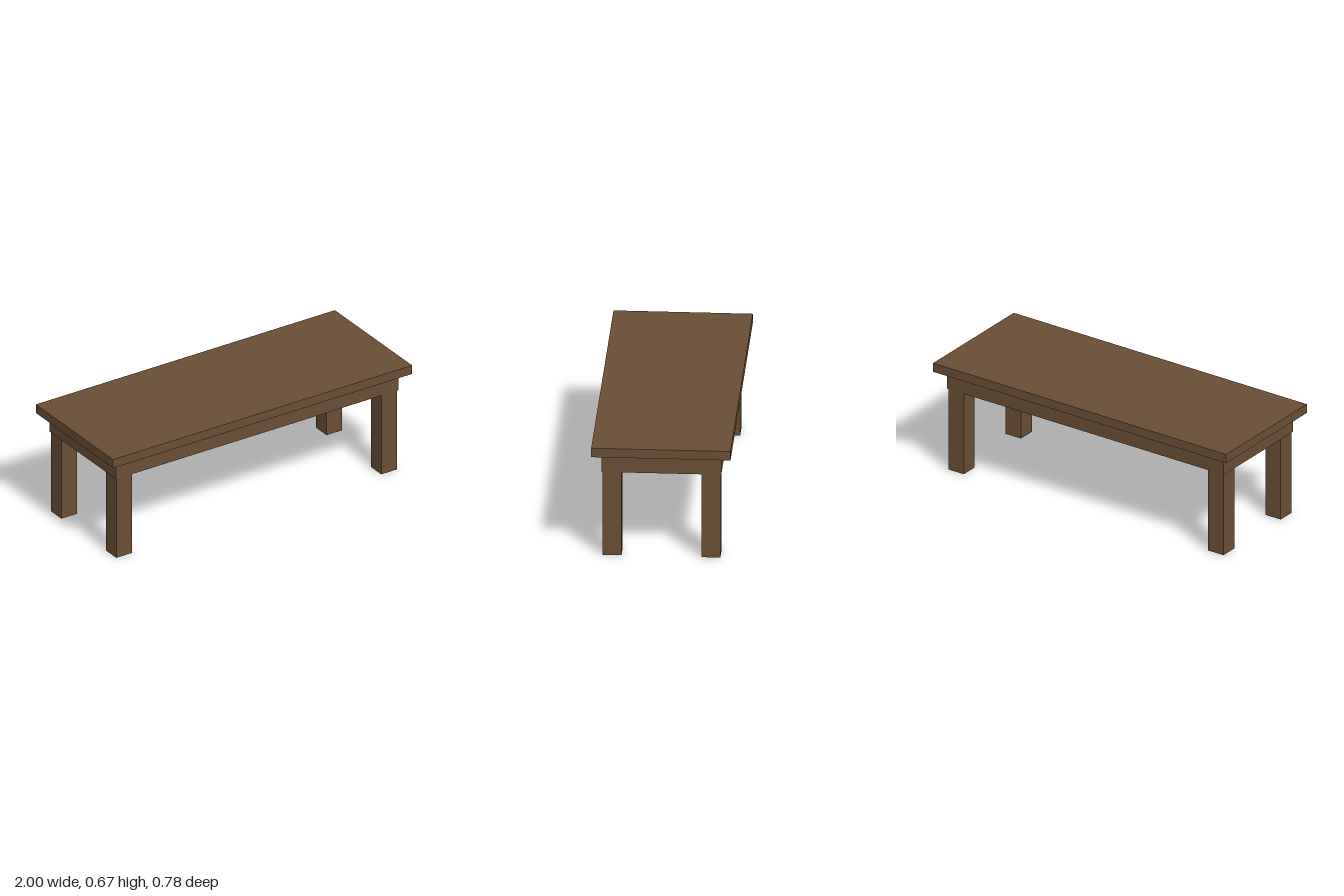
import * as THREE from 'three';

export function createModel() {
  const table = new THREE.Group();
  table.name = 'table';

  const wood = new THREE.MeshStandardMaterial({
    color: 0x6a4e34, flatShading: true, side: THREE.DoubleSide,
  });
  wood.name = 'brown wood';

  const add = (name, geometry, x, y, z) => {
    const mesh = new THREE.Mesh(geometry, wood);
    mesh.name = name;
    mesh.position.set(x, y, z);
    table.add(mesh);
  };
  const slab = (name, w, d, y0, y1) =>
    add(name, new THREE.BoxGeometry(w, y1 - y0, d), 0, (y0 + y1) / 2, 0);

  // Overhanging top and the solid apron beneath it
  const apronBottom = 0.502, apronTop = 0.613;
  slab('tableTop', 2, 0.778, apronTop, 0.667);
  slab('apron', 1.888, 0.668, apronBottom, apronTop);

  // Square hollow legs, open at the foot, slightly inset from the apron
  const legWidth = 0.105;
  const leg = new THREE.CylinderGeometry(
    legWidth / Math.SQRT2, legWidth / Math.SQRT2, apronBottom, 4, 1, true, Math.PI / 4);
  for (const [sz, end] of [[1, 'front'], [-1, 'back']]) {
    for (const [sx, side] of [[1, 'Left'], [-1, 'Right']]) {
      add(`${end}${side}Leg`, leg, sx * 0.886, apronBottom / 2, sz * 0.276);
    }
  }

  return table;
}
